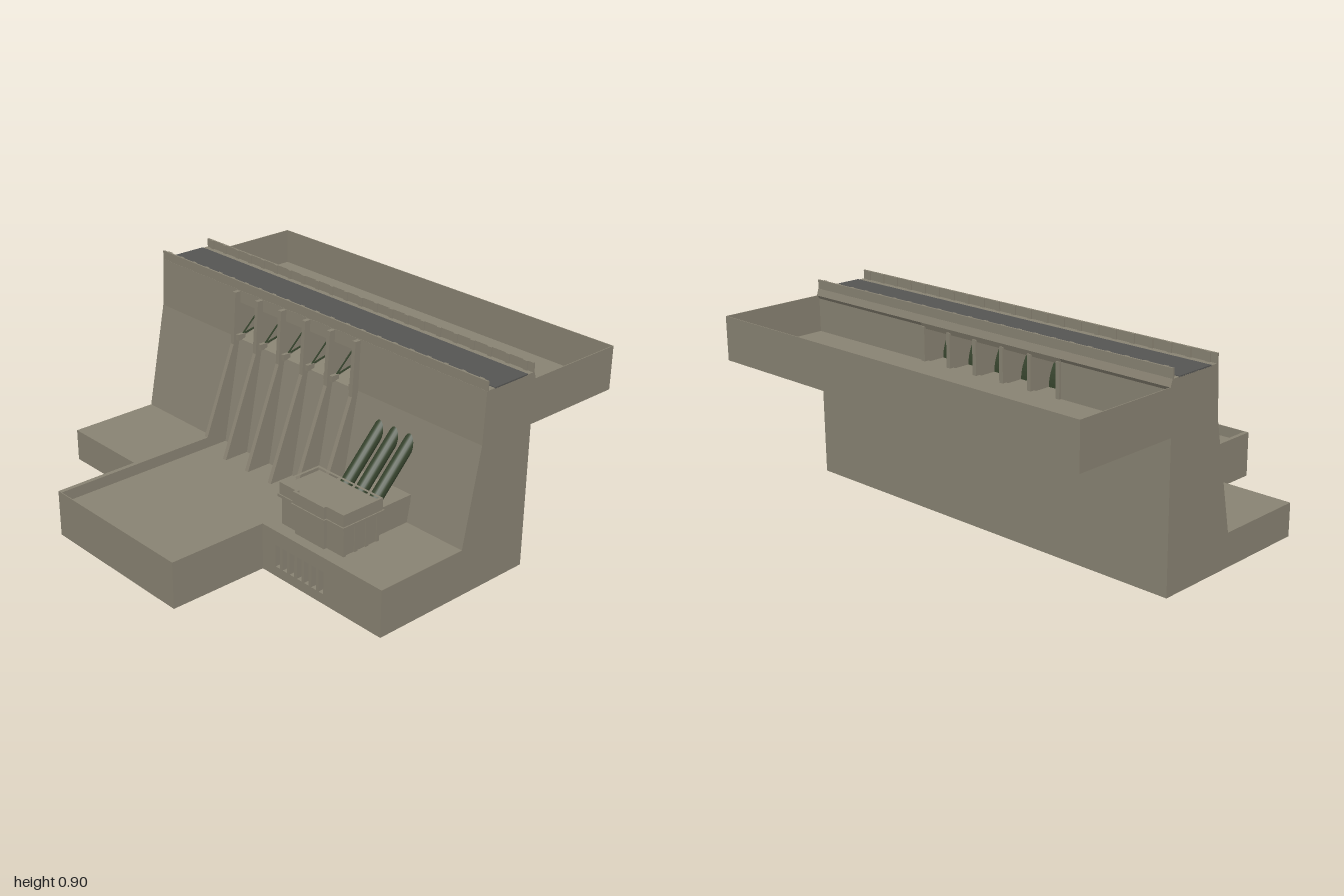
import * as THREE from 'three';

const concrete = new THREE.MeshStandardMaterial({ color: 0x888272 });
concrete.name = 'concrete';
const asphalt = new THREE.MeshStandardMaterial({ color: 0x555553 });
asphalt.name = 'asphalt';
const greenSteel = new THREE.MeshStandardMaterial({ color: 0x36432d, side: THREE.DoubleSide });
greenSteel.name = 'greenSteel';

export function createModel() {
  const model = new THREE.Group();
  model.name = 'dam';

  const add = (name, geometry, material = concrete) => {
    const mesh = new THREE.Mesh(geometry, material);
    mesh.name = name;
    model.add(mesh);
    return mesh;
  };
  // Box given by its limits on each axis
  const box = (name, x0, x1, y0, y1, z0, z1, material) => {
    const g = new THREE.BoxGeometry(x1 - x0, y1 - y0, z1 - z0);
    g.translate((x0 + x1) / 2, (y0 + y1) / 2, (z0 + z1) / 2);
    return add(name, g, material);
  };
  // Side profile of [z, y] points, extruded from x0 to x1
  const profile = (name, x0, x1, points, material) => {
    const shape = new THREE.Shape(points.map(([z, y]) => new THREE.Vector2(z, y)));
    const g = new THREE.ExtrudeGeometry(shape, { depth: x1 - x0, bevelEnabled: false });
    g.rotateY(-Math.PI / 2).translate(x1, 0, 0);
    return add(name, g, material);
  };
  // Round bar between two [x, y, z] points
  const bar = (name, a, b, radius, sides, material) => {
    const path = new THREE.LineCurve3(new THREE.Vector3(...a), new THREE.Vector3(...b));
    return add(name, new THREE.TubeGeometry(path, 1, radius, sides), material);
  };

  const L = -0.46, R = 0.32; // limits of the spillway

  // Dam wall on both sides of the spillway
  const wall = [[-0.39, 0], [0, 0], [-0.01, 0.15], [-0.105, 0.64], [-0.115, 0.865],
    [-0.39, 0.865], [-0.4, 0.835], [-0.39, 0.82]];
  profile('damWallRight', -1, L, wall);
  profile('damWallLeft', R, 1, wall);

  // Spillway: chute with crest, and the bridge deck above the openings
  profile('spillwayChute', L, R, [[-0.39, 0], [0, 0], [-0.01, 0.15], [-0.105, 0.64],
    [-0.2, 0.665], [-0.39, 0.665]]);
  profile('bridgeDeck', L, R, [[-0.112, 0.81], [-0.115, 0.865], [-0.39, 0.865],
    [-0.4, 0.835], [-0.39, 0.81]]);

  // Spillway piers
  const pitch = (R - L - 0.02) / 5;
  for (let i = 0; i < 6; i++) {
    const x = L + i * pitch;
    profile('pier', x, x + 0.02, [[-0.4, 0.66], [-0.2, 0.64], [-0.1, 0.6], [-0.02, 0.15],
      [0.115, 0.15], [-0.07, 0.62], [-0.085, 0.862], [-0.12, 0.862], [-0.12, 0.82], [-0.4, 0.82]]);
  }

  // Curved gates with arms and trunnion blocks
  const radius = 0.18, hubY = 0.66, hubZ = -0.115;
  for (let i = 0; i < 5; i++) {
    const x0 = L + 0.02 + i * pitch, x1 = L + (i + 1) * pitch;
    const outer = [], inner = [];
    for (let k = 0; k <= 10; k++) {
      const a = -0.1 + k * 0.11;
      outer.push([hubZ - radius * Math.cos(a), hubY + radius * Math.sin(a)]);
      inner.unshift([hubZ - (radius - 0.008) * Math.cos(a), hubY + (radius - 0.008) * Math.sin(a)]);
    }
    profile('gate', x0, x1, outer.concat(inner), greenSteel);
    for (const x of [x0 + 0.008, x1 - 0.008]) {
      for (const a of [0.2, 0.75]) {
        bar('gateArm', [x, hubY, hubZ],
          [x, hubY + 0.175 * Math.sin(a), hubZ - 0.175 * Math.cos(a)], 0.005, 4, greenSteel);
      }
      box('trunnion', x - 0.008, x + 0.008, 0.638, 0.665, -0.125, -0.085);
    }
  }

  // Road and parapets with posts
  box('road', -1, 1, 0.862, 0.868, -0.35, -0.16, asphalt);
  for (const [z, inward] of [[-0.12, -1], [-0.385, 1]]) {
    box('parapet', -1, 1, 0.86, 0.905, z - 0.004, z + 0.004);
    for (let i = 0; i < 22; i++) {
      const x = -0.96 + i * 0.0915, c = z + inward * 0.005;
      box('parapetPost', x - 0.011, x + 0.011, 0.86, 0.905, c - 0.005, c + 0.005);
    }
  }

  // Open reservoir trough behind the wall
  box('reservoirFloor', -1, 1, 0.64, 0.67, -0.89, -0.38);
  box('reservoirBackWall', -1, 1, 0.64, 0.835, -0.89, -0.886);
  for (const s of [-1, 1]) {
    box('reservoirSideWall', s * 0.998 - 0.002, s * 0.998 + 0.002, 0.64, 0.835, -0.89, -0.38);
  }

  // Ground terraces and stilling basin
  box('rightTerrace', -1, L, 0, 0.15, -0.2, 0.42);
  box('leftTerrace', R, 1, 0, 0.21, -0.2, 0.38);
  box('basinFloor', L, R, 0, 0.16, -0.2, 0.878);
  box('basinWallRight', L, L + 0.02, 0, 0.21, -0.1, 0.88);
  box('basinWallLeft', R - 0.02, R, 0, 0.21, -0.1, 0.88);
  box('basinSill', L, R, 0, 0.21, 0.876, 0.88);

  // Terrace front with seven outlet slots
  const front = new THREE.Shape([[R, 0], [1, 0], [1, 0.21], [R, 0.21]].map(p => new THREE.Vector2(...p)));
  for (let i = 0; i < 7; i++) {
    const x = 0.4 + i * 0.0425;
    front.holes.push(new THREE.Path([[x, 0.045], [x, 0.145], [x + 0.027, 0.145], [x + 0.027, 0.045]]
      .map(p => new THREE.Vector2(...p))));
  }
  add('outletFront', new THREE.ExtrudeGeometry(front, { depth: 0.04, bevelEnabled: false }).translate(0, 0, 0.38));

  // Powerhouse: rear block, main hall with front bay, cornice and roof parapet
  box('powerhouseRear', 0.4, 0.7, 0.2, 0.33, -0.04, 0.17);
  box('powerhouseHall', 0.375, 0.725, 0.2, 0.385, 0.16, 0.36);
  box('powerhouseBay', 0.465, 0.635, 0.2, 0.385, 0.35, 0.375);
  const outline = d => [[0.365 - d, 0.155 - d], [0.735 + d, 0.155 - d], [0.735 + d, 0.368 + d],
    [0.64 + d, 0.368 + d], [0.64 + d, 0.382 + d], [0.46 - d, 0.382 + d], [0.46 - d, 0.368 + d],
    [0.365 - d, 0.368 + d]].map(([x, z]) => new THREE.Vector2(x, -z));
  const ring = (name, d, y0, y1) => {
    const shape = new THREE.Shape(outline(d));
    shape.holes.push(new THREE.Path(outline(-0.012)));
    const g = new THREE.ExtrudeGeometry(shape, { depth: y1 - y0, bevelEnabled: false });
    add(name, g.rotateX(-Math.PI / 2).translate(0, y0, 0));
  };
  ring('roofParapet', 0, 0.345, 0.4);
  ring('cornice', 0.005, 0.335, 0.347);
  for (const x of [0.375, 0.725]) {
    for (let i = 0; i < 4; i++) {
      const z = 0.165 + i * 0.06;
      box('pilaster', x - 0.005, x + 0.005, 0.21, 0.34, z, z + 0.015);
    }
  }

  // Penstocks running from the wall down to the powerhouse
  for (const x of [0.465, 0.55, 0.635]) {
    bar('penstock', [x, 0.57, -0.135], [x, 0.29, 0.138], 0.028, 16, greenSteel);
  }

  return model;
}
